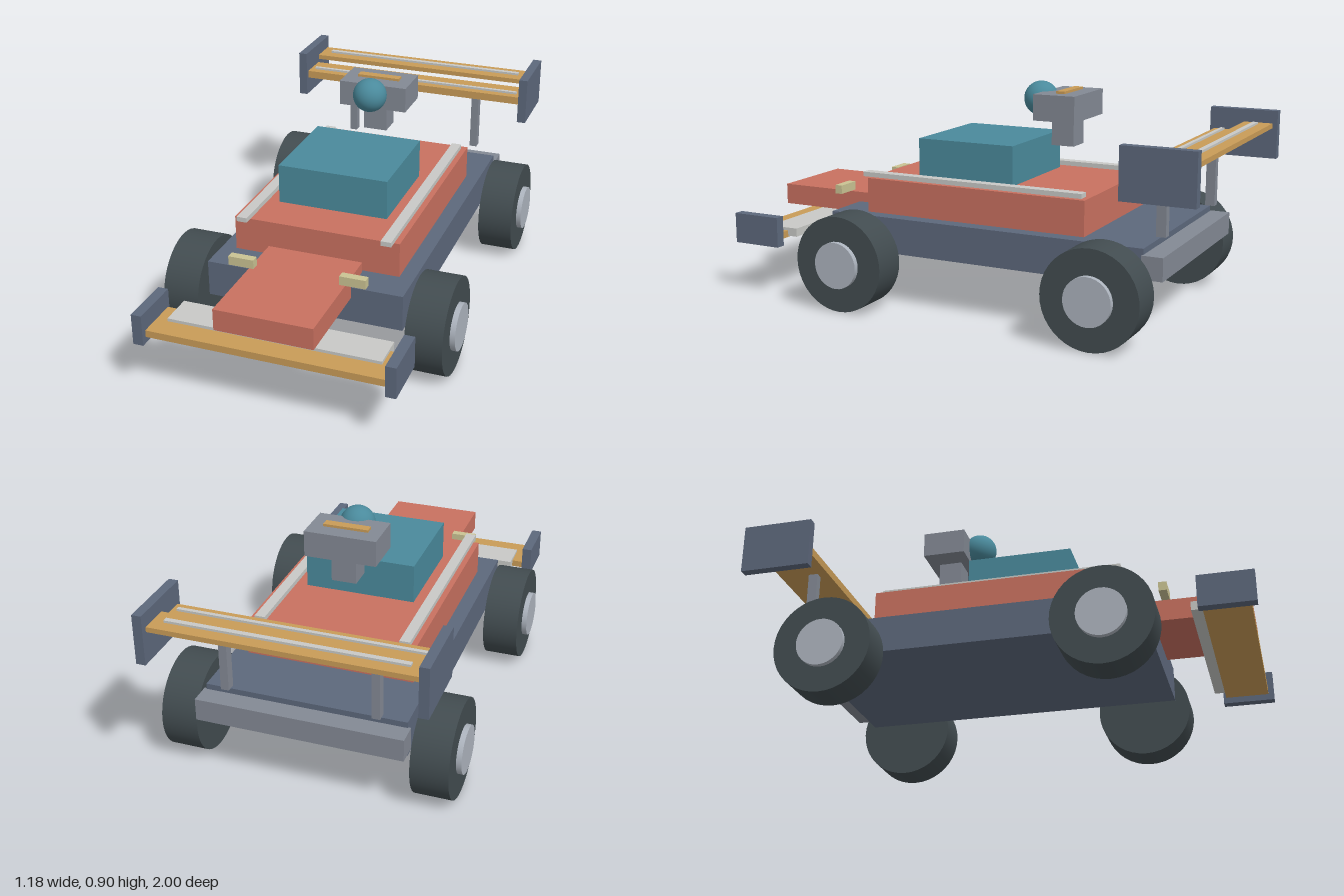
import * as THREE from 'three';

const mat = (name, color) => {
  const m = new THREE.MeshStandardMaterial({ color });
  m.name = name;
  return m;
};

export function createModel() {
  const navy = mat('slate blue', 0x5d687c);
  const red = mat('coral red', 0xc97160);
  const teal = mat('teal', 0x4a8a9c);
  const gold = mat('ochre', 0xc99c57);
  const pale = mat('pale grey', 0xc8c9c6);
  const grey = mat('mid grey', 0x838994);
  const cream = mat('lamp cream', 0xcac393);
  const rubber = mat('rubber', 0x424c50);
  const silver = mat('silver', 0xadb4be);

  const car = new THREE.Group();
  car.name = 'raceCar';

  const add = (name, geometry, material, x, y, z) => {
    const mesh = new THREE.Mesh(geometry, material);
    mesh.name = name;
    mesh.position.set(x, y, z);
    car.add(mesh);
    return mesh;
  };
  // Box given by its minimum and maximum on each axis
  const box = (name, material, [x0, x1], [y0, y1], [z0, z1]) =>
    add(name, new THREE.BoxGeometry(x1 - x0, y1 - y0, z1 - z0), material,
      (x0 + x1) / 2, (y0 + y1) / 2, (z0 + z1) / 2);
  // Box centred on x = 0
  const mid = (name, material, half, y, z) => box(name, material, [-half, half], y, z);
  // Pair of boxes mirrored in x
  const pair = (name, material, [x0, x1], y, z) => {
    box(name + 'Left', material, [x0, x1], y, z);
    box(name + 'Right', material, [-x1, -x0], y, z);
  };

  // Hull
  mid('chassis', navy, 0.397, [0.217, 0.363], [-0.76, 0.59]);
  mid('rearBumper', grey, 0.408, [0.25, 0.34], [-0.84, -0.755]);
  mid('body', red, 0.338, [0.36, 0.503], [-0.502, 0.453]);
  mid('nose', red, 0.193, [0.318, 0.404], [0.465, 0.967]);
  mid('cockpit', teal, 0.226, [0.503, 0.663], [-0.148, 0.275]);
  pair('sideRail', pale, [0.273, 0.315], [0.503, 0.522], [-0.48, 0.488]);
  pair('headlight', cream, [0.172, 0.275], [0.407, 0.443], [0.625, 0.657]);

  // Air intake and helmet
  mid('intakePost', grey, 0.05, [0.648, 0.758], [-0.33, -0.235]);
  mid('intakeBox', grey, 0.144, [0.757, 0.861], [-0.372, -0.197]);
  mid('intakeStripe', gold, 0.09, [0.861, 0.871], [-0.307, -0.271]);
  add('helmet', new THREE.SphereGeometry(0.07, 32, 20), teal, 0, 0.827, -0.166);

  // Front wing
  mid('frontWing', gold, 0.47, [0.235, 0.263], [0.8, 0.977]);
  mid('frontFlap', pale, 0.42, [0.24, 0.275], [0.757, 0.892]);
  pair('frontEndPlate', navy, [0.467, 0.508], [0.21, 0.335], [0.789, 1]);

  // Rear wing
  mid('rearWingLower', gold, 0.505, [0.64, 0.673], [-0.862, -0.733]);
  mid('rearWingLowerStrip', pale, 0.483, [0.673, 0.682], [-0.783, -0.767]);
  mid('rearWingUpper', gold, 0.502, [0.69, 0.71], [-0.98, -0.861]);
  mid('rearWingUpperStrip', pale, 0.456, [0.71, 0.719], [-0.931, -0.91]);
  pair('rearEndPlate', navy, [0.505, 0.542], [0.563, 0.762], [-1, -0.715]);
  pair('rearStrut', grey, [0.278, 0.31], [0.39, 0.64], [-0.814, -0.775]);

  // Wheels
  const tyre = new THREE.CylinderGeometry(0.194, 0.194, 0.147, 40).rotateZ(Math.PI / 2);
  const hub = new THREE.CylinderGeometry(0.094, 0.094, 0.03, 32).rotateZ(Math.PI / 2);
  for (const [end, z] of [['front', 0.453], ['rear', -0.62]]) {
    for (const [side, s] of [['Left', 1], ['Right', -1]]) {
      add(`${end}Tyre${side}`, tyre, rubber, s * 0.4945, 0.194, z);
      add(`${end}Hub${side}`, hub, silver, s * 0.574, 0.194, z);
    }
  }
  return car;
}
